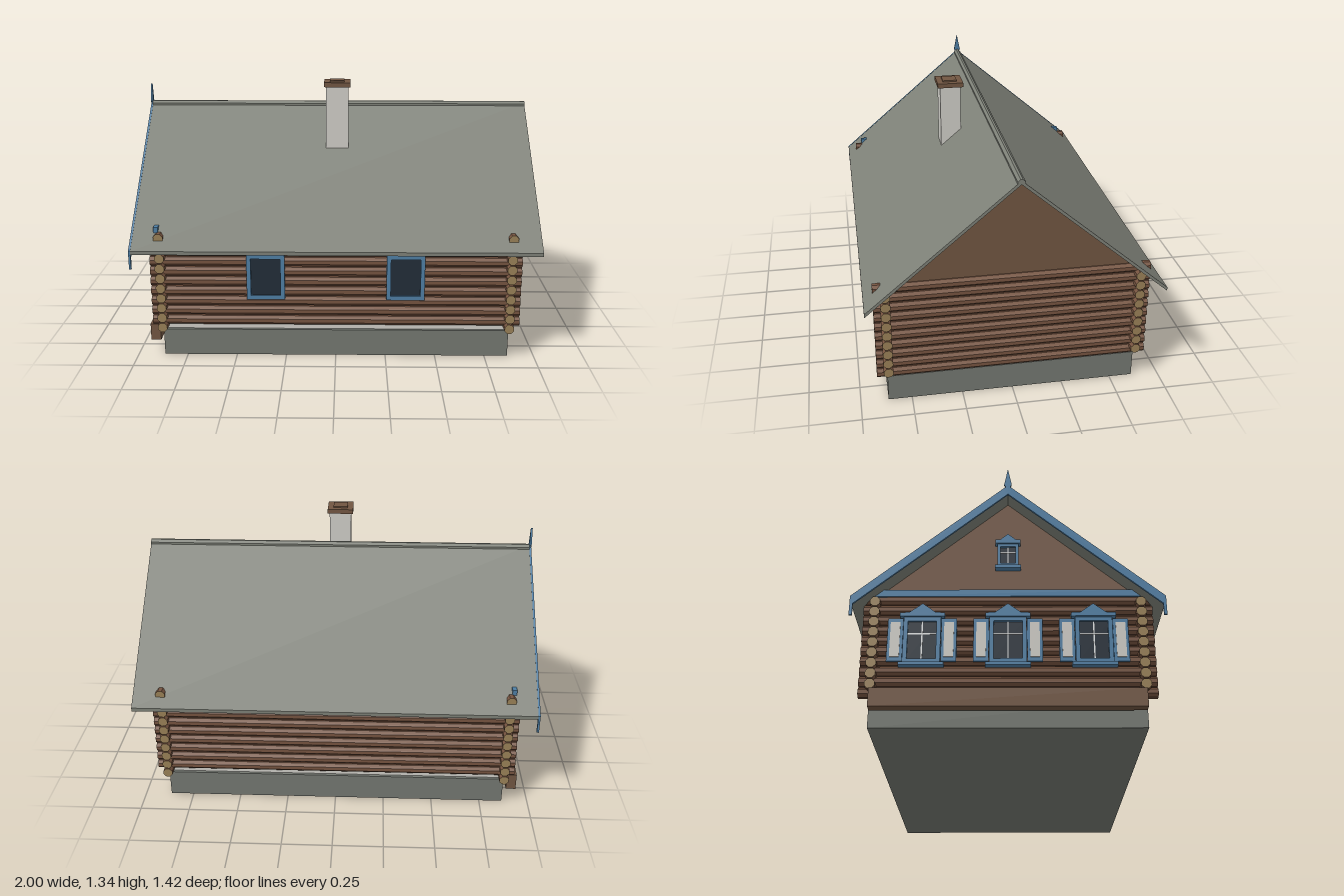
import * as THREE from 'three';

const paint = (name, color, side = THREE.FrontSide) => {
  const m = new THREE.MeshStandardMaterial({ color, side });
  m.name = name;
  return m;
};

export function createModel() {
  const house = new THREE.Group();
  house.name = 'logHouse';

  const logWood = paint('log wood', 0x765440);
  const endGrain = paint('log end grain', 0x9a8158);
  const board = paint('brown boards', 0x725642);
  const roofing = paint('grey roofing', 0x7e8178);
  const stone = paint('foundation stone', 0x747871);
  const plaster = paint('pale plaster', 0xd0cec8);
  const blue = paint('blue trim', 0x4f7fa5);
  const glass = paint('dark glass', 0x222d38);
  const white = paint('white bars', 0xe4e6e6);

  const add = (name, geo, mat, parent = house) => {
    const m = new THREE.Mesh(geo, mat);
    m.name = name;
    parent.add(m);
    return m;
  };
  // Box given by its extents
  const box = (name, mat, x0, x1, y0, y1, z0, z1, parent) => {
    const m = add(name, new THREE.BoxGeometry(x1 - x0, y1 - y0, z1 - z0), mat, parent);
    m.position.set((x0 + x1) / 2, (y0 + y1) / 2, (z0 + z1) / 2);
    return m;
  };
  const outline = (pts) => new THREE.Shape(pts.map((p) => new THREE.Vector2(p[0], p[1])));
  // Outline in (z, y), extruded from x towards -x
  const plate = (name, mat, shape, x, depth, parent) => {
    const g = new THREE.ExtrudeGeometry(shape, { depth, bevelEnabled: false });
    g.rotateY(-Math.PI / 2);
    const m = add(name, g, mat, parent);
    m.position.x = x;
    return m;
  };
  // Rectangle outline with a rectangular opening
  const frameShape = (w, y0, y1, t) => {
    const s = outline([[-w, y0], [w, y0], [w, y1], [-w, y1]]);
    s.holes.push(outline([[-w + t, y0 + t], [-w + t, y1 - t], [w - t, y1 - t], [w - t, y0 + t]]));
    return s;
  };

  // Foundation and plastered core seen between the logs
  box('foundation', stone, -0.867, 0.867, 0, 0.137, -0.615, 0.615);
  box('wallCore', plaster, -0.85, 0.85, 0.137, 0.645, -0.6, 0.6);

  // Interlocking eight-sided logs with pale ends
  const STEP = 0.0517;
  const logGeo = (len) => {
    const g = new THREE.CylinderGeometry(0.025, 0.025, len, 8, 1, false, Math.PI / 8).toNonIndexed();
    g.computeVertexNormals();
    return g;
  };
  const longGeo = logGeo(1.834).rotateZ(Math.PI / 2);
  const crossGeo = logGeo(1.33).rotateX(Math.PI / 2);
  const logMats = [logWood, endGrain, endGrain];
  for (const s of [-1, 1]) {
    for (let i = 0; i < 9; i++) add('longLog', longGeo, logMats).position.set(0, 0.191 + i * STEP, s * 0.61);
    for (let i = 0; i < 10; i++) add('crossLog', crossGeo, logMats).position.set(s * 0.863, 0.166 + i * STEP, 0);
  }

  // Gables and roof
  plate('gables', board, outline([[-0.61, 0.648], [0.61, 0.648], [0, 1.17]]), 0.868, 1.736);
  const chevron = (top, bottom) => outline([
    [-0.71, top - 0.605], [-0.71, bottom - 0.605], [0, bottom],
    [0.71, bottom - 0.605], [0.71, top - 0.605], [0, top],
  ]);
  plate('roof', roofing, chevron(1.188, 1.17), 1, 1.99);
  plate('ridgeCap', roofing, outline([[-0.018, 1.17], [0.018, 1.17], [0.018, 1.183], [0.005, 1.195], [-0.005, 1.195], [-0.018, 1.183]]), 1, 1.99);

  // Chimney
  box('chimneyStack', plaster, -0.055, 0.06, 0.92, 1.31, 0.13, 0.235);
  box('chimneyCap', board, -0.065, 0.07, 1.307, 1.33, 0.116, 0.248);
  box('chimneyLid', board, -0.035, 0.04, 1.33, 1.337, 0.146, 0.218);

  // Plain windows of the long front wall
  for (const x of [-0.345, 0.345]) {
    const win = new THREE.Group();
    win.name = 'frontWindow';
    win.position.x = x;
    house.add(win);
    const g = new THREE.ExtrudeGeometry(frameShape(0.094, 0.312, 0.545, 0.021), { depth: 0.045, bevelEnabled: false });
    add('windowFrame', g, blue, win).position.z = 0.603;
    box('windowGlass', glass, -0.075, 0.075, 0.33, 0.527, 0.6, 0.637, win);
  }

  // Bargeboards, hanging ends and spire of the decorated gable
  plate('bargeboards', blue, chevron(1.19, 1.14), -0.99, 0.01);
  for (const s of [-1, 1]) {
    box('hangingBoard', blue, -1, -0.99, 0.49, 0.58, s * 0.703 - 0.007, s * 0.703 + 0.007);
  }
  plate('spire', blue, outline([[-0.012, 1.15], [0.012, 1.15], [0.012, 1.185], [0.018, 1.195], [0, 1.285], [-0.018, 1.195], [-0.012, 1.185]]), -0.99, 0.01);
  box('frieze', blue, -0.89, -0.868, 0.645, 0.68, -0.63, 0.63);
  box('baseBeam', board, -0.935, -0.885, 0.075, 0.162, -0.61, 0.61);

  // Carved windows facing -x, with optional shutters
  const carvedWindow = (name, x, z, w, y0, y1, t, peak, shutters) => {
    const win = new THREE.Group();
    win.name = name;
    win.position.z = z;
    house.add(win);
    const mid = y0 + (y1 - y0) * 0.64;
    plate('carvedFrame', blue, frameShape(w, y0, y1, t), x, 0.032, win);
    box('pane', glass, x - 0.022, x, y0 + t * 0.8, y1 - t * 0.8, -w + t * 0.8, w - t * 0.8, win);
    box('uprightBar', white, x - 0.026, x - 0.02, y0 + t, y1 - t, -0.003, 0.003, win);
    box('crossBar', white, x - 0.026, x - 0.02, mid - 0.003, mid + 0.003, -w + t, w - t, win);
    const c = w * 1.2;
    plate('crown', blue, outline([[-c, y1], [c, y1], [c, y1 + 0.018], [w * 0.7, y1 + 0.02], [0, peak], [-w * 0.7, y1 + 0.02], [-c, y1 + 0.018]]), x, 0.042, win);
    box('sill', blue, x - 0.042, x, y0 - 0.016, y0, -c, c, win);
    if (!shutters) return;
    for (const s of [-1, 1]) {
      const cz = s * (w + 0.037);
      box('shutter', blue, x - 0.025, x, y0 + 0.01, y1 - 0.005, cz - 0.035, cz + 0.035, win);
      box('shutterPanel', plaster, x - 0.029, x - 0.024, y0 + 0.03, y1 - 0.025, cz - 0.022, cz + 0.022, win);
    }
  };
  for (const z of [-0.39, 0, 0.39]) carvedWindow('gableWindow', -0.87, z, 0.085, 0.3, 0.53, 0.02, 0.595, true);
  carvedWindow('atticWindow', -0.86, 0, 0.05, 0.81, 0.93, 0.015, 0.98, false);

  return house;
}
